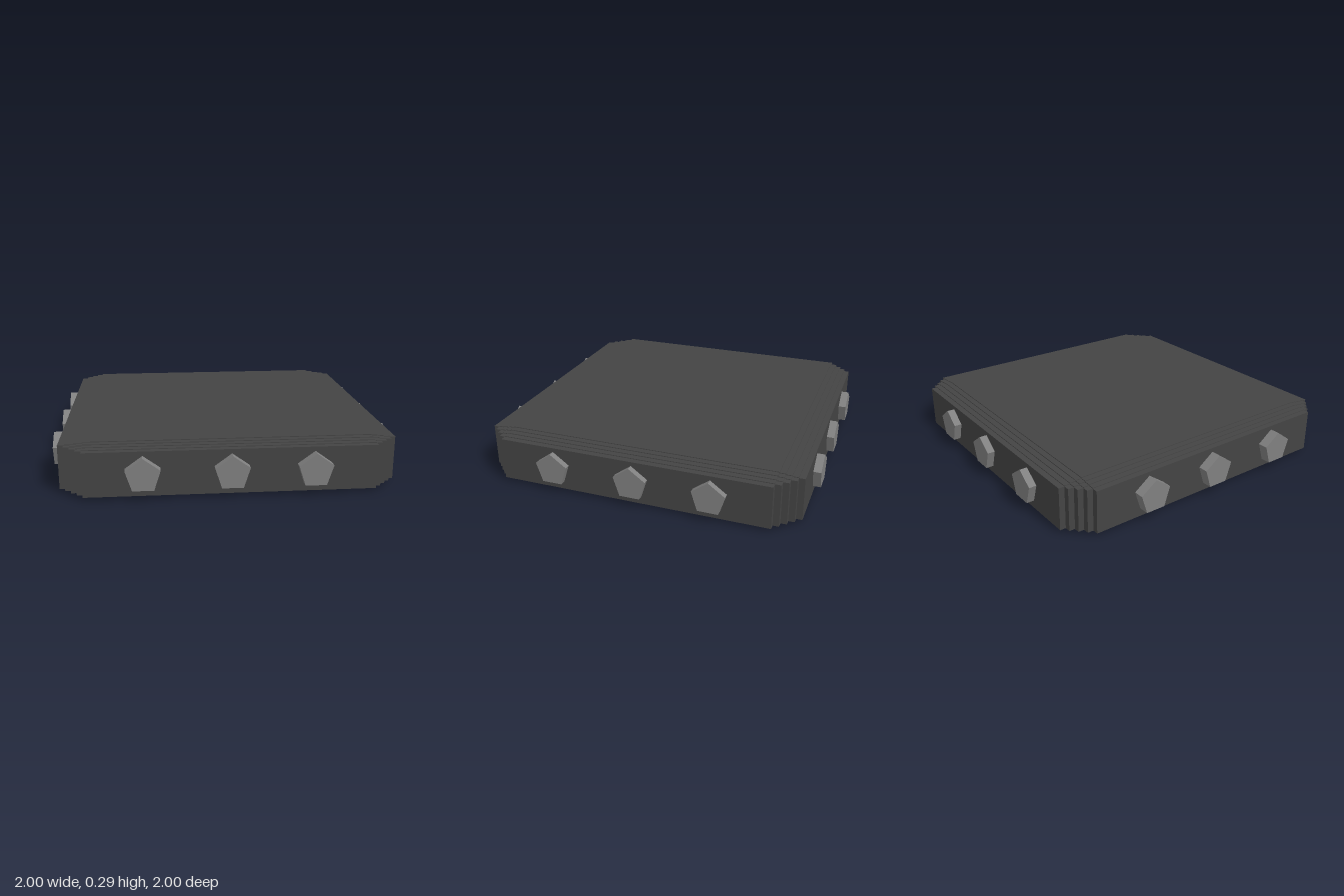
import * as THREE from 'three';

export function createModel() {
  const model = new THREE.Group();
  const slabMaterial = new THREE.MeshStandardMaterial({ color: 0x444444, flatShading: true });
  const rodMaterial = new THREE.MeshStandardMaterial({ color: 0x808080, flatShading: true });
  const midHeight = 0.145;

  // Slab: overlapping boxes that trade reach between the three axes,
  // giving terraced edges and stepped corners
  const slab = new THREE.Group();
  slab.name = 'slab';
  slab.position.set(0.012, midHeight, -0.002);
  const steps = 4;
  for (let i = 0; i <= steps; i++) {
    for (let j = 0; j <= steps - i; j++) {
      const k = steps - i - j;
      const layer = new THREE.Mesh(
        new THREE.BoxGeometry(
          2 * (0.8125 + 0.035 * i),
          2 * (0.1275 + 0.0044 * k),
          2 * (0.8125 + 0.035 * j)
        ),
        slabMaterial
      );
      layer.name = 'slabLayer';
      slab.add(layer);
    }
  }
  model.add(slab);

  // Five-sided rods running through the slab both ways, point upward
  const rodGeometry = new THREE.CylinderGeometry(0.101, 0.101, 2, 5).rotateX(-Math.PI / 2);
  for (const offset of [-0.473, 0.012, 0.471]) {
    const lengthRod = new THREE.Mesh(rodGeometry, rodMaterial);
    lengthRod.name = 'lengthRod';
    lengthRod.position.set(offset, midHeight + 0.002, 0);
    const crossRod = new THREE.Mesh(rodGeometry, rodMaterial);
    crossRod.name = 'crossRod';
    crossRod.rotation.y = Math.PI / 2;
    crossRod.position.set(0, midHeight + 0.002, -offset);
    model.add(lengthRod, crossRod);
  }

  return model;
}
